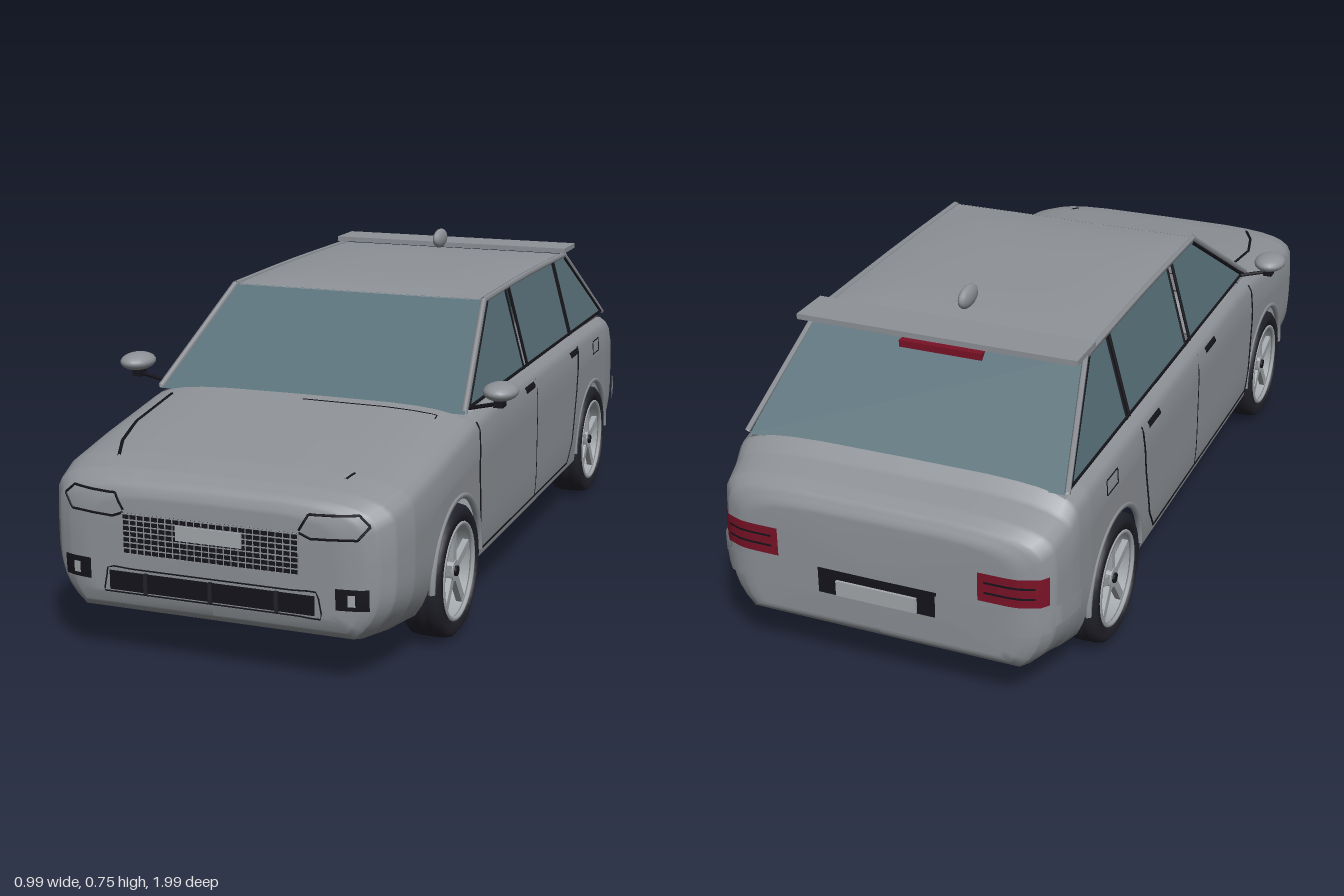
import * as THREE from 'three';

const mat = (name, color) => new THREE.MeshStandardMaterial({ name, color, side: THREE.DoubleSide });
const V = (x, y, z) => new THREE.Vector3(x, y, z);

// Body stations: z, half width, bottom, crown height, tuck of the lower edge
const KEYS = [
  [0.985, 0.30, 0.15, 0.375, 0.16], [0.98, 0.33, 0.13, 0.39, 0.18], [0.965, 0.365, 0.112, 0.403, 0.2],
  [0.93, 0.39, 0.102, 0.417, 0.2], [0.86, 0.405, 0.1, 0.432, 0.15], [0.7, 0.41, 0.1, 0.455, 0.06],
  [0.46, 0.411, 0.13, 0.487, 0.03], [0.3, 0.412, 0.13, 0.5, 0.03], [-0.5, 0.412, 0.13, 0.5, 0.03],
  [-0.78, 0.41, 0.1, 0.495, 0.06], [-0.84, 0.406, 0.1, 0.485, 0.1], [-0.87, 0.402, 0.1, 0.458, 0.13],
  [-0.93, 0.39, 0.102, 0.44, 0.16], [-0.96, 0.368, 0.108, 0.425, 0.16], [-0.975, 0.33, 0.125, 0.4, 0.15],
];
const AXLES = [0.59, -0.62], HUB_Y = 0.15, ARCH_R = 0.166;
const SIDE = 9, TOP = 8, CUT = 3;

function station(z) {
  let i = 0;
  while (i < KEYS.length - 2 && z < KEYS[i + 1][0]) i++;
  const t = (z - KEYS[i][0]) / (KEYS[i + 1][0] - KEYS[i][0]);
  return KEYS[i].map((v, k) => THREE.MathUtils.lerp(v, KEYS[i + 1][k], t));
}

// Closed cross-section ring, wheel arches lift its lower edge
function ring(z) {
  const [, w, yb, yt, tuck] = station(z);
  let low = yb;
  for (const a of AXLES) {
    const d = ARCH_R ** 2 - (z - a) ** 2;
    if (d > 0) low = Math.max(low, HUB_Y + Math.sqrt(d));
  }
  const ys = yt - 0.11, half = [[0, yb]];
  low = Math.min(low, ys + 0.04);
  const top = Math.max(ys, low);
  for (let k = 0; k < SIDE; k++) {
    const y = low + (top - low) * k / SIDE;
    half.push([w * (1 - tuck * Math.max(0, (0.25 - y) / 0.15) ** 3), y]);
  }
  for (let k = 0; k <= TOP; k++) {
    const a = k / TOP * Math.PI / 2;
    half.push([k === TOP ? 0 : w * Math.cos(a) ** 0.444, Math.max(low, ys + 0.11 * Math.sin(a) ** 0.444)]);
  }
  return [...half, ...half.slice(0, -1).reverse().map(([x, y]) => [-x, y])];
}

// Body shell, open under the cabin and at the wheel wells
function bodyGeometry() {
  const rows = [], pos = [], idx = [];
  const cap = (z, zr, s) => rows.push({ z, p: ring(zr).map(([x, y]) => [x * s, 0.27 + (y - 0.27) * s]) });
  cap(0.99, 0.985, 0); cap(0.988, 0.985, 0.92);
  for (let k = 0; k <= 392; k++) rows.push({ z: 0.985 - k * 0.005, p: ring(0.985 - k * 0.005) });
  cap(-0.978, -0.975, 0.92); cap(-0.98, -0.975, 0);
  const n = rows[0].p.length;
  rows.forEach(({ z, p }) => p.forEach(([x, y]) => pos.push(x, y, z)));
  for (let i = 0; i < rows.length - 1; i++) {
    const z = (rows[i].z + rows[i + 1].z) / 2;
    for (let j = 0; j < n - 1; j++) {
      const h = Math.min(j, n - 2 - j);
      if (h === 0 && z < 0.75 && z > -0.78) continue;
      if (h > SIDE + CUT && z < 0.46 && z > -0.84) continue;
      const a = i * n + j, c = a + n;
      idx.push(a, c, a + 1, a + 1, c, c + 1);
    }
  }
  const g = new THREE.BufferGeometry();
  g.setAttribute('position', new THREE.Float32BufferAttribute(pos, 3));
  g.setIndex(idx);
  g.computeVertexNormals();
  return g;
}

export function createModel() {
  const car = new THREE.Group();
  const paint = mat('grey paint', 0x8e9297), glass = mat('tinted glass', 0x587079), rubber = mat('tyre rubber', 0x22222b);
  const black = mat('black trim', 0x14141b), red = mat('lamp red', 0x7a1226), metal = mat('light alloy', 0xa3a8ac);
  const add = (name, geo, m, parent = car) => {
    const mesh = new THREE.Mesh(geo, m);
    mesh.name = name;
    parent.add(mesh);
    return mesh;
  };
  const box = (name, m, w, h, d, x, y, z) => add(name, new THREE.BoxGeometry(w, h, d).translate(x, y, z), m);
  const body = add('bodyShell', bodyGeometry(), paint);

  // Drop a point onto the body: a, b are (x,y) for front/back, (z,y) for left/right, (x,z) for top
  const ray = new THREE.Raycaster();
  const DIRS = { front: V(0, 0, 1), back: V(0, 0, -1), left: V(1, 0, 0), right: V(-1, 0, 0), top: V(0, 1, 0) };
  const snap = (face, a, b, off) => {
    const d = DIRS[face];
    const o = d.z ? V(a, b, 0) : d.x ? V(0, b, a) : V(a, 0, b);
    ray.set(o.clone().addScaledVector(d, 2), d.clone().negate());
    const hit = ray.intersectObject(body)[0];
    return (hit ? hit.point : o.addScaledVector(d, 0.38)).addScaledVector(d, off);
  };
  // Thin plate following the body
  const patch = (name, m, face, a0, a1, b0, b1, off = 0.004) => {
    const g = new THREE.PlaneGeometry(1, 1, 10, 4), p = g.attributes.position;
    for (let i = 0; i < p.count; i++) {
      const q = snap(face, a0 + (a1 - a0) * (p.getX(i) + 0.5), b0 + (b1 - b0) * (p.getY(i) + 0.5), off);
      p.setXYZ(i, q.x, q.y, q.z);
    }
    g.computeVertexNormals();
    return add(name, g, m);
  };
  const tube = (name, m, pts, r) => add(name, new THREE.TubeGeometry(new THREE.CatmullRomCurve3(pts), pts.length * 2, r, 5), m);
  // Panel gap following the body
  const seam = (name, face, pts, r = 0.0028) => {
    const out = [];
    pts.forEach(([a, b], i) => {
      const [c, d] = pts[Math.min(i + 1, pts.length - 1)], n = i < pts.length - 1 ? 8 : 1;
      for (let k = 0; k < n; k++) out.push(snap(face, a + (c - a) * k / n, b + (d - b) * k / n, 0));
    });
    tube(name, black, out, r);
  };
  const pane = (name, m, pts) => {
    const g = new THREE.BufferGeometry().setFromPoints(pts), idx = [];
    for (let i = 1; i < pts.length - 1; i++) idx.push(0, i, i + 1);
    g.setIndex(idx);
    g.computeVertexNormals();
    return add(name, g, m);
  };

  // Roof, spoiler and aerial
  const roof = new THREE.PlaneGeometry(0.65, 0.76, 16, 12).rotateX(-Math.PI / 2).translate(0, 0, -0.225);
  const rp = roof.attributes.position;
  for (let i = 0; i < rp.count; i++) {
    const u = rp.getX(i) / 0.325, v = (rp.getZ(i) + 0.225) / 0.38;
    rp.setY(i, 0.676 + 0.014 * (1 - u ** 4) * (1 - v ** 4) + 0.004 * (1 - v * v));
  }
  roof.computeVertexNormals();
  add('roof', roof, paint);
  box('roofSpoiler', paint, 0.67, 0.013, 0.11, 0, 0.69, -0.62);
  add('aerial', new THREE.SphereGeometry(1, 16, 12).scale(0.015, 0.026, 0.045).translate(0, 0.719, -0.49), paint);

  // Screens
  pane('windscreen', glass, [V(-0.38, 0.472, 0.46), V(0.38, 0.472, 0.46), V(0.325, 0.677, 0.15), V(-0.325, 0.677, 0.15)]);
  pane('rearWindow', glass, [V(0.373, 0.47, -0.842), V(-0.373, 0.47, -0.842), V(-0.325, 0.677, -0.6), V(0.325, 0.677, -0.6)]);
  box('highBrakeLamp', red, 0.2, 0.016, 0.02, 0, 0.65, -0.632);

  for (const s of [1, -1]) {
    const face = s > 0 ? 'left' : 'right';
    // Side windows with see-through gaps between them
    const P = (z, t) => V(s * (0.379 - 0.054 * t), 0.476 + 0.2 * t, z);
    pane('frontSideWindow', glass, [P(0.44, 0), P(-0.025, 0), P(-0.025, 1), P(0.15, 1)]);
    pane('rearSideWindow', glass, [P(-0.055, 0), P(-0.465, 0), P(-0.465, 1), P(-0.055, 1)]);
    pane('quarterWindow', glass, [P(-0.478, 0), P(-0.835, 0), P(-0.6, 1), P(-0.478, 1)]);
    for (const z of [-0.022, -0.058, -0.463, -0.48]) tube('windowEdge', black, [P(z, 0), P(z, 1)], 0.004);
    // Pillars, rails and seals
    tube('frontPillar', paint, [P(0.46, 0), P(0.15, 1)], 0.008);
    tube('frontPillarSeal', black, [P(0.43, 0.02), P(0.135, 0.97)], 0.006);
    tube('roofRail', paint, [P(0.15, 1), P(-0.2, 1.02), P(-0.6, 1)], 0.008);
    tube('rearPillar', paint, [P(-0.6, 1), P(-0.842, 0)], 0.007);
    tube('rearPillarSeal', black, [P(-0.588, 0.97), P(-0.825, 0.02)], 0.005);
    tube('waistSeal', black, [P(0.45, 0.02), P(-0.2, 0.02), P(-0.83, 0.02)], 0.004);

    // Door gaps, handles and filler flap
    seam('frontDoorGap', face, [[0.43, 0.45], [0.44, 0.35], [0.425, 0.2], [0.41, 0.146]]);
    seam('middleDoorGap', face, [[-0.04, 0.45], [-0.04, 0.15]], 0.0015);
    seam('rearDoorGap', face, [[-0.455, 0.45], [-0.435, 0.33], [-0.4, 0.2], [-0.36, 0.146]]);
    seam('sillGap', face, [[0.41, 0.146], [-0.36, 0.146]]);
    for (const z of [0.04, -0.39]) patch('doorHandle', black, face, z - 0.04, z + 0.04, 0.437, 0.452, 0.008);
    seam('fillerFlap', face, [[-0.62, 0.43], [-0.685, 0.43], [-0.685, 0.395], [-0.62, 0.395], [-0.62, 0.428]], 0.0018);

    // Mirrors
    add('mirror', new THREE.SphereGeometry(1, 20, 14).scale(0.04, 0.021, 0.052).translate(s * 0.455, 0.526, 0.43), paint);
    box('mirrorStem', black, 0.022, 0.026, 0.03, s * 0.453, 0.503, 0.43);
    tube('mirrorArm', black, [V(s * 0.453, 0.498, 0.43), V(s * 0.375, 0.478, 0.42)], 0.005);

    // Lamps
    seam('headlampOutline', 'front', [[0.2, 0.335], [0.225, 0.325], [0.325, 0.33], [0.348, 0.358], [0.325, 0.378], [0.22, 0.374], [0.2, 0.34]]
      .map(([x, y]) => [s * x, y]));
    patch('fogLamp', black, 'front', s * 0.28, s * 0.348, 0.18, 0.226);
    patch('fogLampLens', metal, 'front', s * 0.306, s * 0.322, 0.19, 0.215, 0.007);
    patch('tailLamp', red, 'back', s * 0.235, s * 0.382, 0.268, 0.335, 0.006);
    for (const y of [0.288, 0.312]) patch('tailLampBar', black, 'back', s * 0.25, s * 0.36, y, y + 0.005, 0.008);

    // Rear bumper corner
    patch('rearBumper', paint, 'back', s * 0.14, s * 0.385, 0.2, 0.258, 0.012);
    patch('rearBumperSide', paint, face, -0.94, -0.85, 0.215, 0.265, 0.01);

    // Wheels and arch lips
    for (const z of AXLES) {
      add('archLip', new THREE.TorusGeometry(0.168, 0.008, 6, 36, Math.PI).rotateY(Math.PI / 2).translate(s * 0.407, HUB_Y, z), paint);
      const wheel = new THREE.Group();
      wheel.name = 'wheel';
      wheel.position.set(s * 0.368, HUB_Y, z);
      wheel.scale.x = s;
      const prof = [[0.108, -0.044], [0.135, -0.048], [0.147, -0.038], [0.15, -0.02], [0.145, -0.015], [0.15, -0.01], [0.15, 0.01],
        [0.145, 0.015], [0.15, 0.02], [0.147, 0.038], [0.135, 0.048], [0.108, 0.044], [0.108, -0.044]];
      add('tyre', new THREE.LatheGeometry(prof.map(p => new THREE.Vector2(...p)), 40).rotateZ(-Math.PI / 2), rubber, wheel);
      add('rimBarrel', new THREE.CylinderGeometry(0.107, 0.107, 0.088, 36, 1, true).rotateZ(Math.PI / 2), metal, wheel);
      add('rimLip', new THREE.TorusGeometry(0.107, 0.006, 6, 36).rotateY(Math.PI / 2).translate(0.042, 0, 0), metal, wheel);
      add('hub', new THREE.CylinderGeometry(0.024, 0.028, 0.05, 16).rotateZ(-Math.PI / 2).translate(0.012, 0, 0), metal, wheel);
      add('hubCap', new THREE.CylinderGeometry(0.012, 0.012, 0.006, 12).rotateZ(Math.PI / 2).translate(0.039, 0, 0), black, wheel);
      for (let k = 0; k < 5; k++) {
        const spoke = new THREE.BoxGeometry(0.014, 0.092, 0.02).translate(0.028, 0.061, 0).rotateX(k * Math.PI * 0.4);
        add('spoke', spoke, metal, wheel);
      }
      car.add(wheel);
    }
  }

  // Grille with bars and plate
  patch('grille', black, 'front', -0.2, 0.2, 0.245, 0.335);
  for (let k = 0; k <= 7; k++) box('grilleBar', paint, 0.4, 0.0025, 0.003, 0, 0.246 + k * 0.0125, 0.993);
  for (let k = 0; k <= 24; k++) box('grilleSlat', paint, 0.002, 0.09, 0.003, -0.2 + k / 60, 0.29, 0.993);
  box('frontPlate', metal, 0.15, 0.032, 0.006, 0, 0.305, 0.995);

  // Lower intake
  patch('lowerIntake', black, 'front', -0.235, 0.235, 0.162, 0.205);
  seam('intakeOutline', 'front', [[-0.25, 0.156], [0.25, 0.156], [0.24, 0.211], [-0.24, 0.211], [-0.25, 0.16]], 0.0018);
  for (const x of [-0.15, 0, 0.15]) box('intakeDivider', rubber, 0.008, 0.045, 0.006, x, 0.183, 0.993);

  // Bonnet gaps
  seam('bonnetGap', 'top', [[-0.33, 0.5], [-0.328, 0.68], [-0.3, 0.8], [-0.265, 0.88]], 0.004);
  seam('bonnetGap', 'top', [[0, 0.49], [0.325, 0.49], [0.327, 0.51]], 0.0018);
  seam('bonnetGap', 'top', [[0.26, 0.88], [0.268, 0.85]], 0.003);

  // Rear plate recess and floor
  patch('plateRecess', black, 'back', -0.14, 0.14, 0.2, 0.262, 0.005);
  box('rearPlate', metal, 0.19, 0.036, 0.006, 0, 0.222, -0.988);
  box('floor', paint, 0.58, 0.008, 0.9, 0, 0.107, -0.02);
  return car;
}
